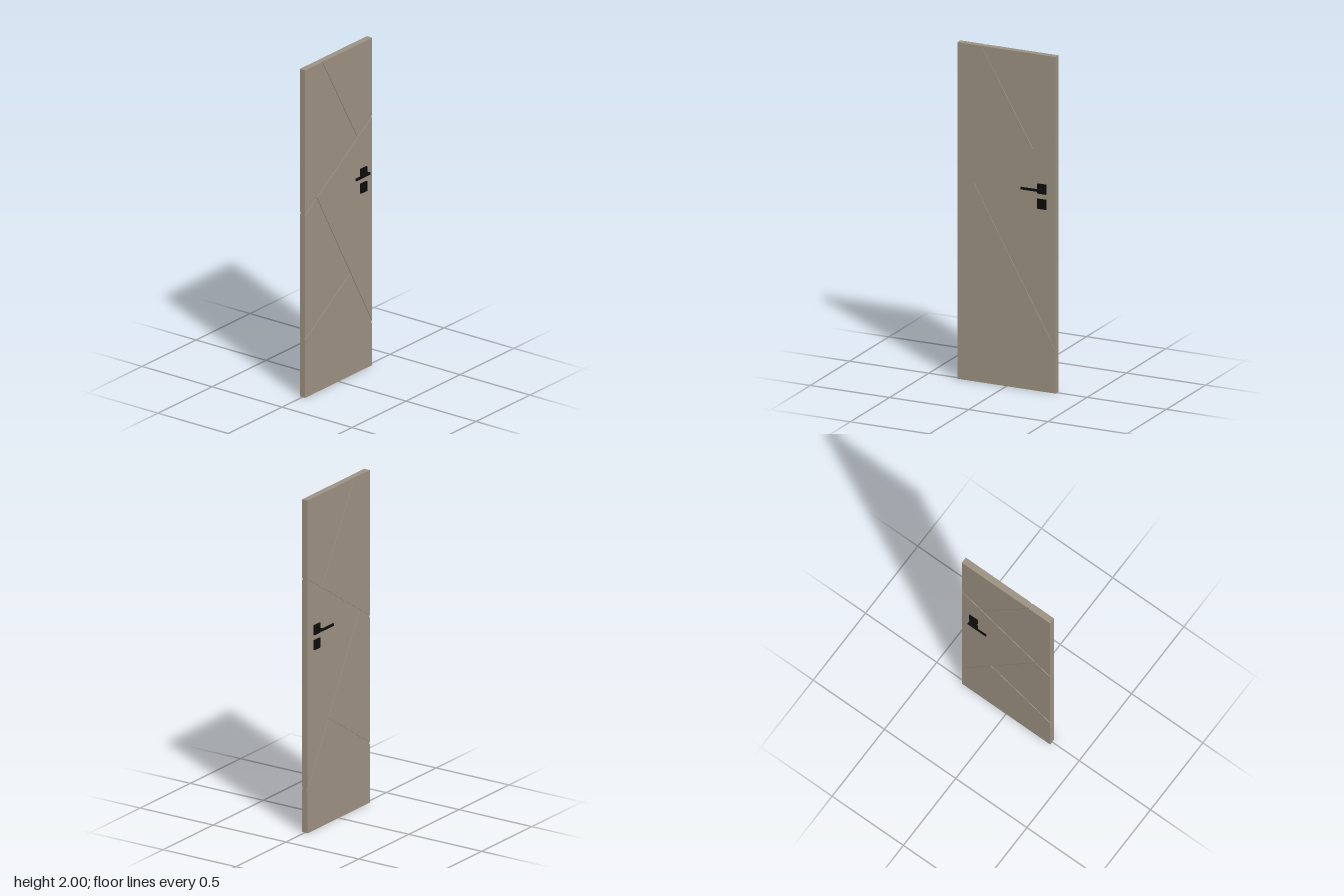
import * as THREE from 'three';

const W = 0.31, H = 2, HALF = 0.019, DEPTH = 0.004, GROOVE = 0.01;

// Groove lines as point pairs; "side +1" is the left of the direction of travel
const A = [[-0.155, 2], [0.17, 1.437]];
const B = [[-W, 1.12], [W, 1.522]];
const C = [[-0.207, 1.19], [W, 0.263]];
const D = [[-W, 0.358], [0.103, 0.626]];

// Keeps the part of a polygon on one side of a line, half a groove away from it
function clip(poly, [[x0, y0], [x1, y1]], side) {
  const len = Math.hypot(x1 - x0, y1 - y0);
  const dist = ([x, y]) => side * ((x1 - x0) * (y - y0) - (y1 - y0) * (x - x0)) / len - GROOVE / 2;
  const out = [];
  poly.forEach((p, i) => {
    const q = poly[(i + 1) % poly.length];
    const a = dist(p), b = dist(q);
    if (a >= 0) out.push(p);
    if ((a >= 0) !== (b >= 0)) {
      const t = a / (a - b);
      out.push([p[0] + (q[0] - p[0]) * t, p[1] + (q[1] - p[1]) * t]);
    }
  });
  return out;
}

export function createModel() {
  const model = new THREE.Group();
  model.name = 'door';
  const wood = new THREE.MeshStandardMaterial({ color: 0x9c9181 });
  wood.name = 'taupe paint';
  const black = new THREE.MeshStandardMaterial({ color: 0x0c0c0c });
  black.name = 'black metal';

  const box = (parent, name, mat, size, pos) => {
    const mesh = new THREE.Mesh(new THREE.BoxGeometry(...size), mat);
    mesh.name = name;
    mesh.position.set(...pos);
    parent.add(mesh);
  };

  // Core slab, which forms the floor of the grooves
  box(model, 'core', wood, [2 * W, H, 2 * (HALF - DEPTH)], [0, H / 2, 0]);

  // Raised panels between the grooves, on both faces
  const leaf = [[-W, 0], [W, 0], [W, H], [-W, H]];
  const panels = {
    upperLeftPanel: [[B, 1], [A, -1]],
    upperRightPanel: [[B, 1], [A, 1]],
    middleRightPanel: [[B, -1], [C, 1]],
    middleLeftPanel: [[B, -1], [C, -1], [D, 1]],
    lowerPanel: [[B, -1], [C, -1], [D, -1]],
  };
  for (const [name, cuts] of Object.entries(panels)) {
    const outline = cuts.reduce((poly, [line, side]) => clip(poly, line, side), leaf);
    const shape = new THREE.Shape(outline.map(([x, y]) => new THREE.Vector2(x, y)));
    const geometry = new THREE.ExtrudeGeometry(shape, { depth: DEPTH, bevelEnabled: false });
    for (const [face, z] of [['front', HALF - DEPTH], ['back', -HALF]]) {
      const mesh = new THREE.Mesh(geometry, wood);
      mesh.name = `${face} ${name}`;
      mesh.position.z = z;
      model.add(mesh);
    }
  }

  // Lever handle and lock plate on both faces
  for (const s of [1, -1]) {
    const handle = new THREE.Group();
    handle.name = s > 0 ? 'frontHandle' : 'backHandle';
    box(handle, 'handlePlate', black, [0.058, 0.058, 0.01], [0.225, 1.205, s * 0.024]);
    box(handle, 'lockPlate', black, [0.058, 0.058, 0.01], [0.225, 1.115, s * 0.024]);
    box(handle, 'neck', black, [0.024, 0.013, 0.026], [0.225, 1.205, s * 0.042]);
    box(handle, 'lever', black, [0.127, 0.013, 0.009], [0.1735, 1.205, s * 0.059]);
    model.add(handle);
  }
  return model;
}
